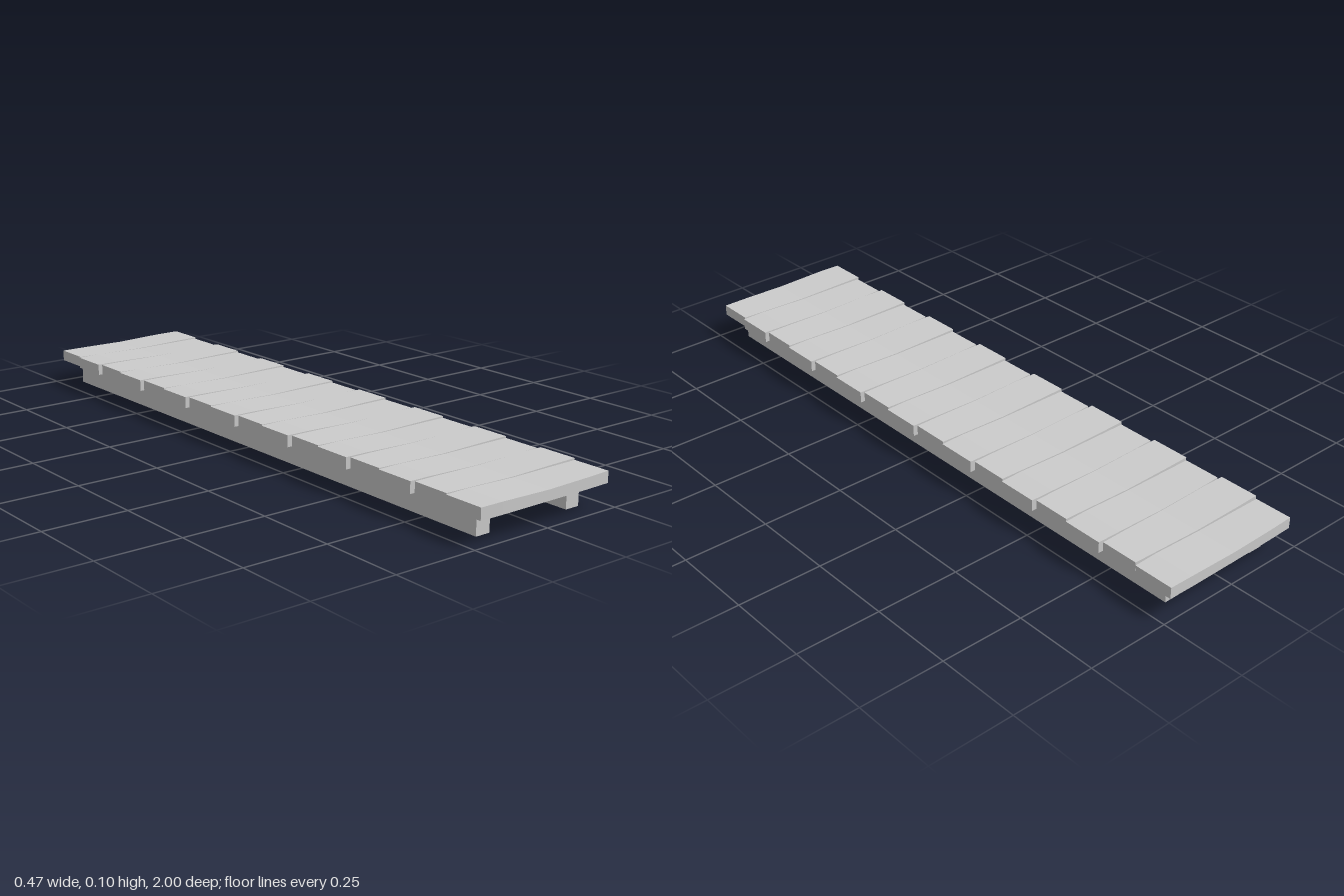
import * as THREE from 'three';

const material = new THREE.MeshStandardMaterial({ color: 0xcccccc, flatShading: true });

// Hand-cut plank outline at five stations along its length:
// [x, back edge z, front edge z, top y]
const stations = [
  [-0.233, -0.059, 0.0615, 0.104],
  [-0.16, -0.0615, 0.0625, 0.104],
  [0, -0.0605, 0.0615, 0.1],
  [0.14, -0.058, 0.06, 0.102],
  [0.223, -0.0565, 0.0575, 0.103],
];
const PLANK_BOTTOM = 0.07;

// A box whose cross-sections follow the worn outline
function plankGeometry() {
  const geometry = new THREE.BoxGeometry(1, 1, 1, stations.length - 1, 1, 1);
  const p = geometry.attributes.position;
  for (let i = 0; i < p.count; i++) {
    const s = stations[Math.round((p.getX(i) + 0.5) * (stations.length - 1))];
    p.setXYZ(i, s[0], p.getY(i) > 0 ? s[3] : PLANK_BOTTOM, p.getZ(i) > 0 ? s[2] : s[1]);
  }
  geometry.computeVertexNormals();
  return geometry;
}

export function createModel() {
  const model = new THREE.Group();
  model.name = 'walkway';

  // Deck planks, every other one turned end for end
  const deck = new THREE.Group();
  deck.name = 'deck';
  const geometry = plankGeometry();
  const count = 16;
  const pitch = 2 / count;
  for (let i = 0; i < count; i++) {
    const plank = new THREE.Mesh(geometry, material);
    plank.name = `plank${i + 1}`;
    plank.position.z = -1 + pitch * (i + 0.5);
    if (i % 2 === 0) plank.rotation.y = Math.PI;
    deck.add(plank);
  }
  model.add(deck);

  // Two long beams under the deck
  for (const [name, side] of [['leftBeam', 1], ['rightBeam', -1]]) {
    const beam = new THREE.Mesh(new THREE.BoxGeometry(0.046, PLANK_BOTTOM, 1.876), material);
    beam.name = name;
    beam.position.set(side * 0.16, PLANK_BOTTOM / 2, -0.003);
    model.add(beam);
  }

  return model;
}
